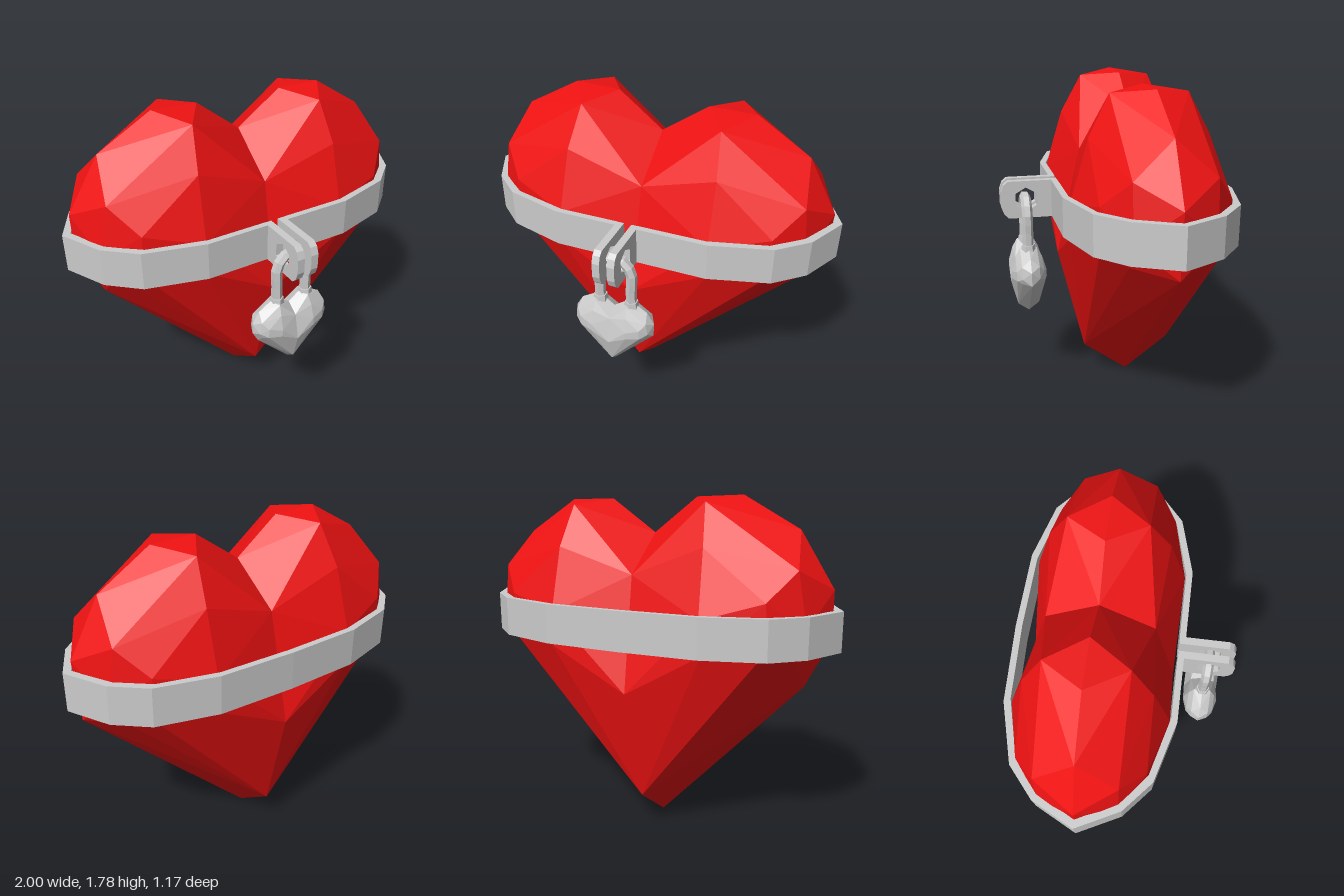
import * as THREE from 'three';
import { ConvexGeometry } from 'three/addons/geometries/ConvexGeometry.js';

const red = new THREE.MeshStandardMaterial({ color: 0xf01212, flatShading: true });
const grey = new THREE.MeshStandardMaterial({ color: 0xcccccc, flatShading: true });

const MID_Z = -0.13; // middle plane of the large heart
const LOCK_X = -0.018, LOCK_Z = 0.45;

function addMesh(parent, name, geometry, material) {
  const mesh = new THREE.Mesh(geometry, material);
  mesh.name = name;
  parent.add(mesh);
  return mesh;
}

// Corners of half a faceted heart [x, y, depth]; depth is mirrored front to back
const halfHeart = [
  [0, 0, 0], [0, 0.19, 0.255], [0, 0.8, 0.407], [0, 1.39, 0.28], [0, 1.585, 0],
  [0.245, 1.764, 0], [0.495, 1.767, 0], [0.785, 1.596, 0], [0.953, 1.31, 0],
  [0.37, 1.74, 0.2], [0.83, 1.42, 0.2], [0.4, 1.53, 0.31],
  [0.71, 1.28, 0.32], [0.41, 1.2, 0.405], [0.42, 1.03, 0.407],
  [0.72, 1.06, 0.32], [0.87, 1.14, 0.2], [0.8, 1.01, 0.2],
];
const lowerCorners = { 1: [[0.938, 0.98, 0]], '-1': [[0.945, 1.06, 0], [0.81, 0.81, 0]] };

// Each lobe with its half of the point is one convex solid
function makeHeart(name, material) {
  const heart = new THREE.Group();
  heart.name = name;
  for (const side of [1, -1]) {
    const points = [...halfHeart, ...lowerCorners[side]].flatMap(([x, y, d]) =>
      (d ? [d, -d] : [0]).map((z) => new THREE.Vector3(side * x, y, z)));
    addMesh(heart, side > 0 ? 'leftHalf' : 'rightHalf', new ConvexGeometry(points), material);
  }
  return heart;
}

// Strap round the heart, open at the front between the two tabs
function makeBand() {
  const quarter = [[0.42, 0.442], [0.735, 0.355], [0.89, 0.22]];
  const outer = [
    [0.042, 0.442], ...quarter, [1, 0],
    ...quarter.map(([x, d]) => [x, -d]).reverse(), [0, -0.455],
    ...quarter.map(([x, d]) => [-x, -d]), [-1, 0],
    ...quarter.map(([x, d]) => [-x, d]).reverse(), [-0.078, 0.442],
  ];
  const inner = outer.map(([x, d], i) =>
    [i === 0 || i === outer.length - 1 ? x : x * 0.957, d * 0.925]).reverse();
  const shape = new THREE.Shape([...outer, ...inner].map(([x, d]) => new THREE.Vector2(x, -d)));
  const geometry = new THREE.ExtrudeGeometry(shape, { depth: 0.205, bevelEnabled: false });
  geometry.rotateX(-Math.PI / 2).translate(0, 1.035, MID_Z);
  return geometry;
}

// Chamfered tab with a hexagonal hole, drawn in z and y and extruded along x
function makeTab() {
  const outline = [[0.28, 1.035], [0.545, 1.035], [0.57, 1.06], [0.585, 1.1],
    [0.585, 1.18], [0.57, 1.22], [0.545, 1.24], [0.28, 1.24]];
  const shape = new THREE.Shape(outline.map(([z, y]) => new THREE.Vector2(-z, y)));
  const hole = [];
  for (let i = 0; i < 6; i++) {
    const a = Math.PI / 6 + (i * Math.PI) / 3;
    hole.push(new THREE.Vector2(-LOCK_Z + 0.066 * Math.cos(a), 1.138 + 0.066 * Math.sin(a)));
  }
  shape.holes.push(new THREE.Path(hole));
  const geometry = new THREE.ExtrudeGeometry(shape, { depth: 0.04, bevelEnabled: false });
  return geometry.translate(0, 0, -0.02).rotateY(Math.PI / 2);
}

// Padlock: small heart body, bent shackle and a collar at each leg
function makePadlock() {
  const lock = new THREE.Group();
  lock.name = 'padlock';
  const body = makeHeart('padlockBody', grey);
  body.scale.setScalar(0.236);
  body.position.set(-0.01, 0.457, 0);
  lock.add(body);

  const path = [[-0.088, 0.82], [-0.088, 0.95], [-0.088, 1.07], [-0.045, 1.13],
    [0.045, 1.13], [0.088, 1.07], [0.088, 0.95], [0.088, 0.82]];
  const curve = new THREE.CatmullRomCurve3(path.map(([x, y]) => new THREE.Vector3(x, y, 0)), false, 'centripetal');
  addMesh(lock, 'shackle', new THREE.TubeGeometry(curve, 16, 0.029, 6), grey);
  for (const side of [1, -1]) {
    const collar = addMesh(lock, 'shackleCollar', new THREE.CylinderGeometry(0.036, 0.042, 0.05, 6), grey);
    collar.position.set(side * 0.088, 0.865, 0);
  }
  lock.position.set(LOCK_X, 0, LOCK_Z);
  return lock;
}

export function createModel() {
  const model = new THREE.Group();
  model.name = 'lockedHeart';

  // Large heart, leaning slightly within its band
  const heart = makeHeart('heart', red);
  heart.rotation.z = -0.0285;
  heart.position.set(-0.035, 0.005, MID_Z);
  model.add(heart);

  addMesh(model, 'band', makeBand(), grey);
  for (const side of [1, -1]) {
    addMesh(model, 'bandTab', makeTab(), grey).position.x = LOCK_X + side * 0.04;
  }
  model.add(makePadlock());
  return model;
}
